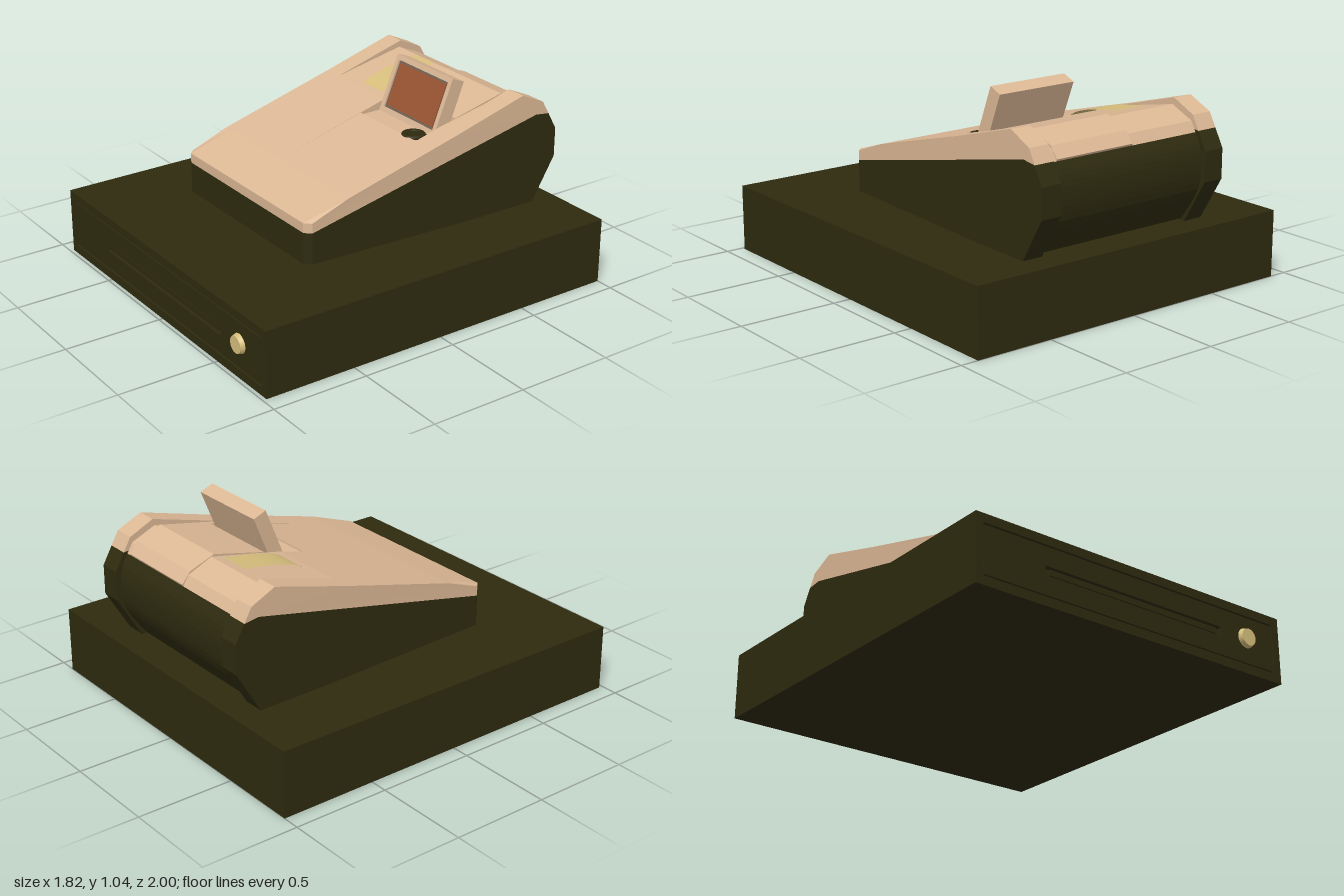
import * as THREE from 'three';

const mat = (name, color) => {
  const m = new THREE.MeshStandardMaterial({ color });
  m.name = name;
  return m;
};

export function createModel() {
  const root = new THREE.Group();
  root.name = 'cashRegister';
  const dark = mat('dark olive casing', 0x2e2b0f);
  const tan = mat('tan shell', 0xdcb895);
  const gold = mat('pale gold', 0xd6be7c);
  const rust = mat('rust screen', 0x9c5533);
  const grey = mat('grey bezel', 0x6e6456);
  const paper = gold.clone();
  paper.name = 'paper gold';
  paper.side = THREE.DoubleSide;

  const add = (name, geo, material, parent = root) => {
    const mesh = new THREE.Mesh(geo, material);
    mesh.name = name;
    parent.add(mesh);
    return mesh;
  };
  const box = (name, x0, x1, y0, y1, z0, z1, material, parent) =>
    add(name, new THREE.BoxGeometry(x1 - x0, y1 - y0, z1 - z0)
      .translate((x0 + x1) / 2, (y0 + y1) / 2, (z0 + z1) / 2), material, parent);
  const shapeOf = (pts) => new THREE.Shape(pts.map(([a, b]) => new THREE.Vector2(a, b)));
  const rect = (w, y0, y1) => [[-w, y0], [w, y0], [w, y1], [-w, y1]];

  // Side profile [z, y] stretched from x0 to x1; outermost faces taper and round the front corners
  const slab = (name, profile, x0, x1, material) => {
    const geo = new THREE.ExtrudeGeometry(shapeOf(profile), { depth: x1 - x0, bevelEnabled: false });
    geo.rotateY(-Math.PI / 2).translate(x1, 0, 0);
    const p = geo.attributes.position;
    for (let i = 0; i < p.count; i++) {
      const x = p.getX(i), z = p.getZ(i);
      if (Math.abs(x) < 0.52) continue;
      p.setX(i, Math.sign(x) * (0.537 - 0.014 * z));
      if (z > 0.49) p.setZ(i, 0.47);
    }
    geo.computeVertexNormals();
    return add(name, geo, material);
  };

  // Cash drawer: box, front frame, inset panel with pull slot
  const plate = (name, w, y0, y1, hole, z0, z1) => {
    const s = shapeOf(rect(w, y0, y1));
    s.holes.push(new THREE.Path(rect(...hole).reverse().map(([a, b]) => new THREE.Vector2(a, b))));
    const g = new THREE.ExtrudeGeometry(s, { depth: z1 - z0, bevelEnabled: false });
    add(name, g.translate(0, 0, z0), dark);
  };
  box('drawerBox', -0.91, 0.91, 0, 0.34, -1, 0.95, dark);
  plate('drawerFrame', 0.91, 0, 0.34, [0.87, 0.045, 0.296], 0.95, 0.98);
  plate('drawerPanel', 0.862, 0.053, 0.288, [0.53, 0.148, 0.194], 0.95, 0.978);
  box('drawerPull', -0.5, 0.5, 0.157, 0.185, 0.95, 0.972, dark);
  add('drawerLock', new THREE.CylinderGeometry(0.043, 0.05, 0.022, 24)
    .rotateX(Math.PI / 2).translate(0.69, 0.18, 0.989), gold);

  // Centre of the casing, with a rounded back
  const back = new THREE.SplineCurve([[-0.92, 0.79], [-0.955, 0.72], [-0.965, 0.62], [-0.94, 0.5], [-0.84, 0.35]]
    .map(([a, b]) => new THREE.Vector2(a, b))).getPoints(14).map((v) => [v.x, v.y]);
  slab('casingCentre', [[0.5, 0.36], [0.5, 0.52], [-0.36, 0.703], [-0.88, 0.79], ...back, [-0.5, 0.345]],
    -0.44, 0.44, dark);

  // Top shell: lowered centre with a recess for the display
  const under = [[-0.92, 0.79], [-0.88, 0.79], [-0.36, 0.703], [0.5, 0.52]];
  const slope = [[0.5, 0.57], [0.27, 0.645]];
  const lowBack = [[-0.36, 0.814], [-0.76, 0.896], [-0.89, 0.84]];
  slab('shellLeft', [...slope, ...lowBack, ...under], 0.41, 0.44, tan);
  slab('shellRight', [...slope, ...lowBack, ...under], -0.44, -0.04, tan);
  slab('shellMiddle', [...slope, [-0.22, 0.775], [-0.221, 0.765], [-0.45, 0.765], [-0.46, 0.838],
    [-0.745, 0.905], [-0.88, 0.855], [-0.925, 0.8], ...under], -0.04, 0.41, tan);

  // Raised cheeks, mirrored, each with a plain strip and a rounded outer strip
  const cheekDark = [[0.5, 0.36], [0.5, 0.52], [-0.86, 0.81], [-0.94, 0.8], [-0.99, 0.71], [-0.99, 0.56],
    [-0.86, 0.34], [-0.5, 0.34]];
  const cheekTan = [...slope, [-0.36, 0.814], [-0.77, 0.93], [-0.9, 0.87], [-0.94, 0.8], [-0.86, 0.81], [0.5, 0.52]];
  for (const s of [-1, 1]) {
    for (const [a, b] of [[0.44, 0.5], [0.5, 0.54]]) {
      const [x0, x1] = s > 0 ? [a, b] : [-b, -a];
      slab('cheekCasing', cheekDark, x0, x1, dark);
      slab('cheekShell', cheekTan, x0, x1, tan);
    }
  }

  // Tilted display, built upright from its lower front edge
  const display = new THREE.Group();
  display.name = 'display';
  display.position.set(0.185, 0.768, -0.33);
  display.rotation.x = -0.383;
  root.add(display);
  const frame = shapeOf(rect(0.22, 0, 0.298));
  frame.holes.push(new THREE.Path(rect(0.195, 0.027, 0.273).reverse().map(([a, b]) => new THREE.Vector2(a, b))));
  add('displayFrame', new THREE.ExtrudeGeometry(frame, { depth: 0.015, bevelEnabled: false })
    .translate(0, 0, -0.015), tan, display);
  box('displayBack', -0.22, 0.22, 0, 0.298, -0.075, -0.015, tan, display);
  box('displayBezel', -0.195, 0.195, 0.027, 0.273, -0.015, -0.009, grey, display);
  box('displayScreen', -0.183, 0.183, 0.039, 0.261, -0.009, -0.004, rust, display);

  // Key switch beside the display
  add('keyRing', new THREE.TorusGeometry(0.045, 0.018, 8, 24)
    .rotateX(Math.PI / 2).scale(1, 0.6, 1).translate(0.325, 0.769, -0.27), dark);
  add('keyCore', new THREE.CylinderGeometry(0.03, 0.03, 0.012, 16).translate(0.325, 0.77, -0.27), dark);

  // Curved receipt strip
  const curve = new THREE.SplineCurve([[-0.735, 0.908], [-0.6, 0.888], [-0.5, 0.866], [-0.42, 0.835], [-0.38, 0.795]]
    .map(([a, b]) => new THREE.Vector2(a, b)));
  const strip = new THREE.PlaneGeometry(0.16, 1, 1, 16);
  const sp = strip.attributes.position;
  for (let i = 0; i < sp.count; i++) {
    const v = curve.getPoint(0.5 - sp.getY(i));
    sp.setXYZ(i, sp.getX(i) - 0.19, v.y, v.x);
  }
  strip.computeVertexNormals();
  add('receipt', strip, paper);

  return root;
}
